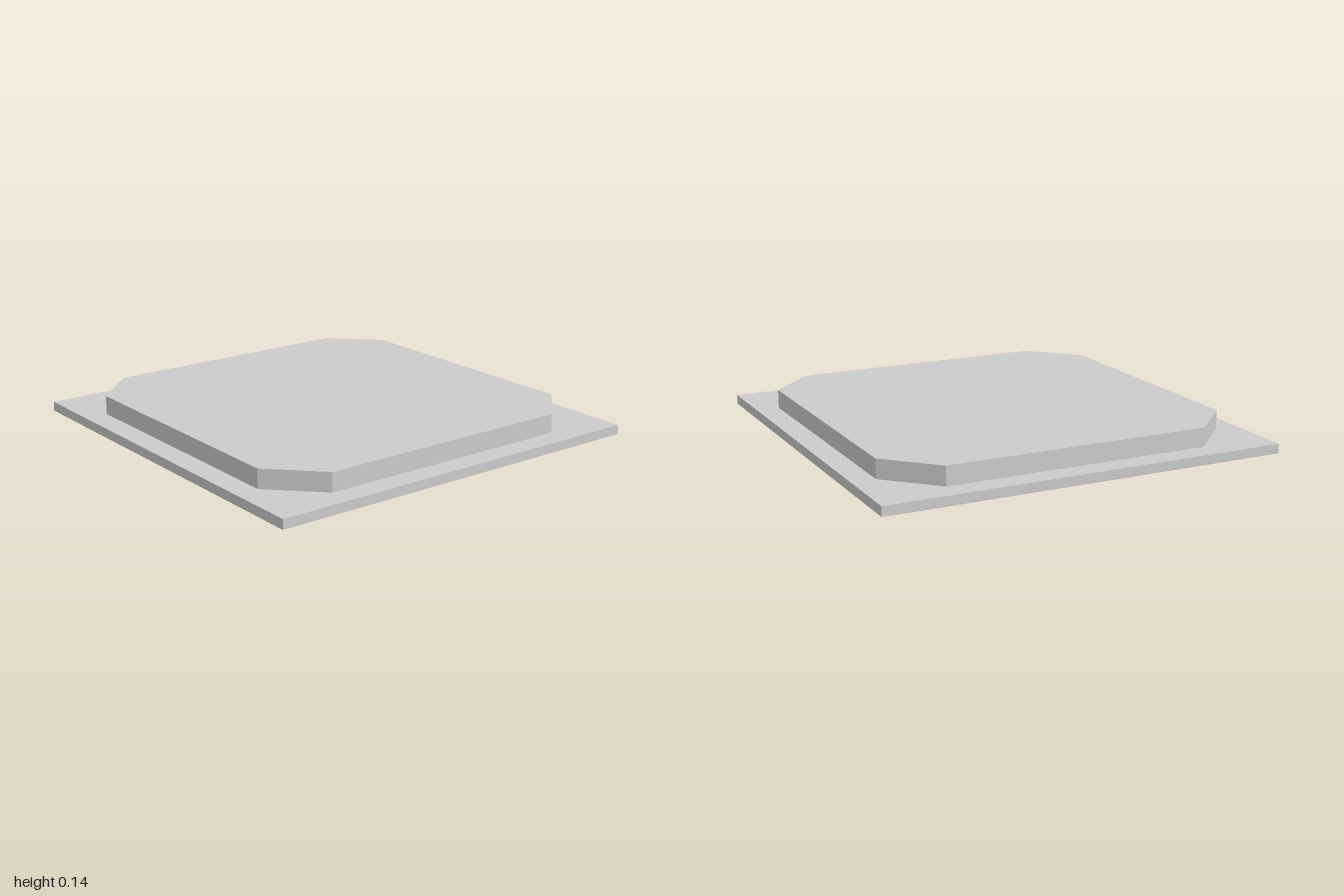
import * as THREE from 'three';

const BASE_HEIGHT = 0.047;
const TOP_HEIGHT = 0.14;

// Square outline with its four corners cut off
function chamferedSquare(half, flat) {
  const points = [];
  for (let i = 0; i < 4; i++) {
    const turn = (i * Math.PI) / 2;
    for (const y of [-flat, flat]) {
      points.push(new THREE.Vector2(half, y).rotateAround(new THREE.Vector2(), turn));
    }
  }
  return new THREE.Shape(points);
}

export function createModel() {
  const model = new THREE.Group();
  const material = new THREE.MeshStandardMaterial({ color: 0xcccccc, flatShading: true });

  // Thin square base plate
  const base = new THREE.Mesh(new THREE.BoxGeometry(2, BASE_HEIGHT, 2), material);
  base.name = 'basePlate';
  base.position.y = BASE_HEIGHT / 2;
  model.add(base);

  // Raised slab with chamfered corners, resting on the base
  const slabGeometry = new THREE.ExtrudeGeometry(chamferedSquare(0.885, 0.657), {
    depth: TOP_HEIGHT - BASE_HEIGHT,
    bevelEnabled: false,
  });
  slabGeometry.rotateX(-Math.PI / 2);
  const slab = new THREE.Mesh(slabGeometry, material);
  slab.name = 'raisedSlab';
  slab.position.y = BASE_HEIGHT;
  model.add(slab);

  return model;
}
